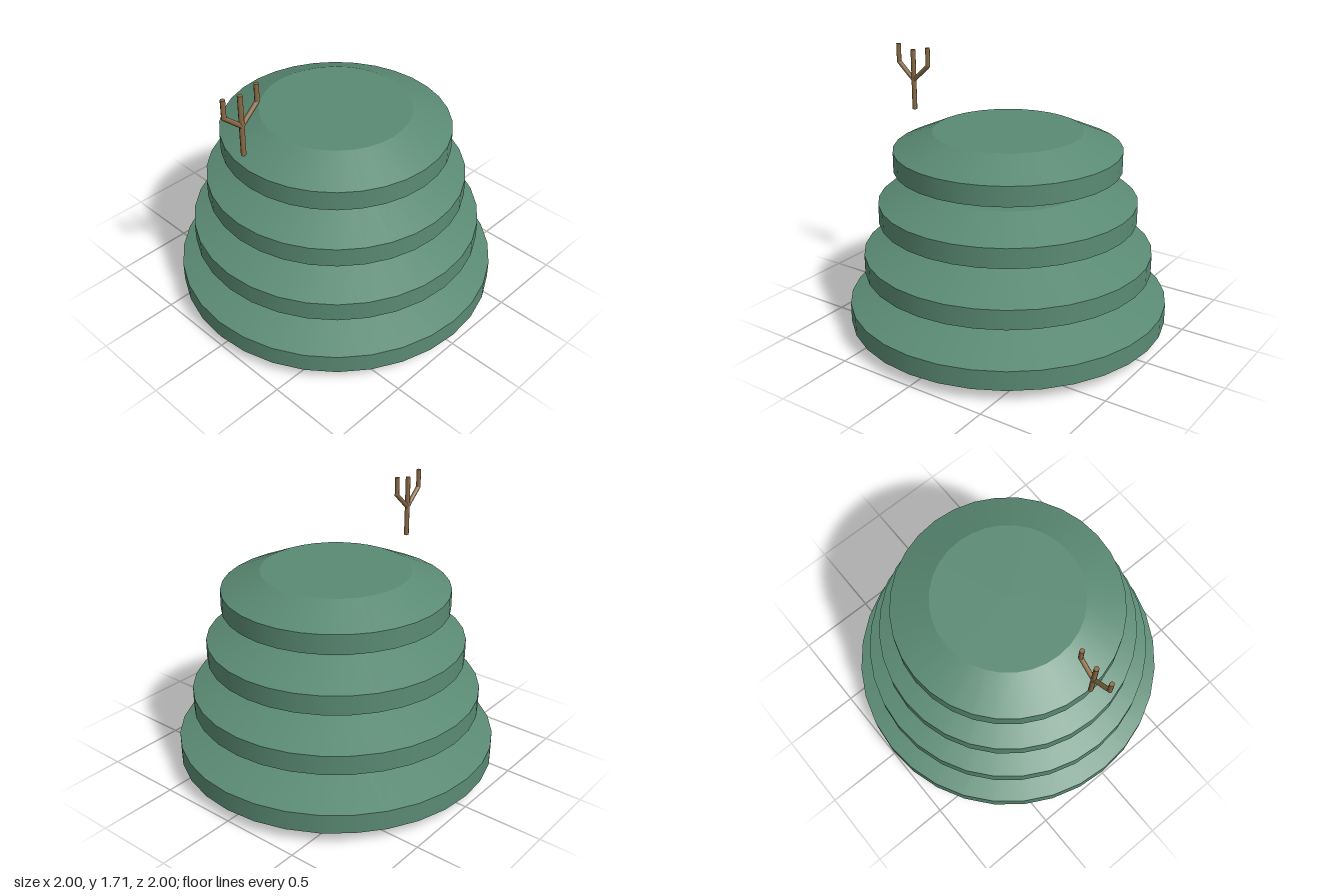
import * as THREE from 'three';
import { mergeGeometries } from 'three/addons/utils/BufferGeometryUtils.js';

const foliage = new THREE.MeshStandardMaterial({ color: 0x5a8a74 });
foliage.name = 'foliage green';
const bark = new THREE.MeshStandardMaterial({ color: 0x8b6b45 });
bark.name = 'bark brown';

// Bevelled disc: three crisp-edged bands and two flat caps
function tierGeometry(radius, y0) {
  const levels = [[radius * 0.7, y0], [radius, y0 + 0.078], [radius, y0 + 0.2], [radius * 0.656, y0 + 0.308]];
  const parts = [];
  for (let i = 0; i < 3; i++) {
    const [r0, a] = levels[i], [r1, b] = levels[i + 1];
    parts.push(new THREE.CylinderGeometry(r1, r0, b - a, 32, 1, true).translate(0, (a + b) / 2, 0));
  }
  const [rb, yb] = levels[0], [rt, yt] = levels[3];
  parts.push(new THREE.CircleGeometry(rb, 32).rotateX(Math.PI / 2).translate(0, yb, 0));
  parts.push(new THREE.CircleGeometry(rt, 32).rotateX(-Math.PI / 2).translate(0, yt, 0));
  return mergeGeometries(parts);
}

// Straight twig between two points in the z = 0 plane
function twig(name, x0, y0, x1, y1, radius) {
  const dx = x1 - x0, dy = y1 - y0;
  const mesh = new THREE.Mesh(new THREE.CylinderGeometry(radius, radius, Math.hypot(dx, dy), 8), bark);
  mesh.name = name;
  mesh.position.set((x0 + x1) / 2, (y0 + y1) / 2, 0);
  mesh.rotation.z = -Math.atan2(dx, dy);
  return mesh;
}

export function createModel() {
  const model = new THREE.Group();
  model.name = 'tieredBush';

  // Four stacked tiers, shrinking upwards
  for (let i = 0; i < 4; i++) {
    const tier = new THREE.Mesh(tierGeometry(1 - 0.1 * i, 0.324 * i), foliage);
    tier.name = 'tier' + (i + 1);
    model.add(tier);
  }

  // Forked branch above the right-hand rim
  const branch = new THREE.Group();
  branch.name = 'forkedBranch';
  branch.position.x = -0.725;
  branch.add(twig('stem', 0, 1.295, 0, 1.68, 0.0155));
  for (const [side, s] of [['left', 1], ['right', -1]]) {
    branch.add(twig(side + 'Fork', 0, 1.485, s * 0.117, 1.59, 0.0145));
    branch.add(twig(side + 'Tip', s * 0.117, 1.585, s * 0.117, 1.705, 0.0145));
  }
  model.add(branch);
  return model;
}
